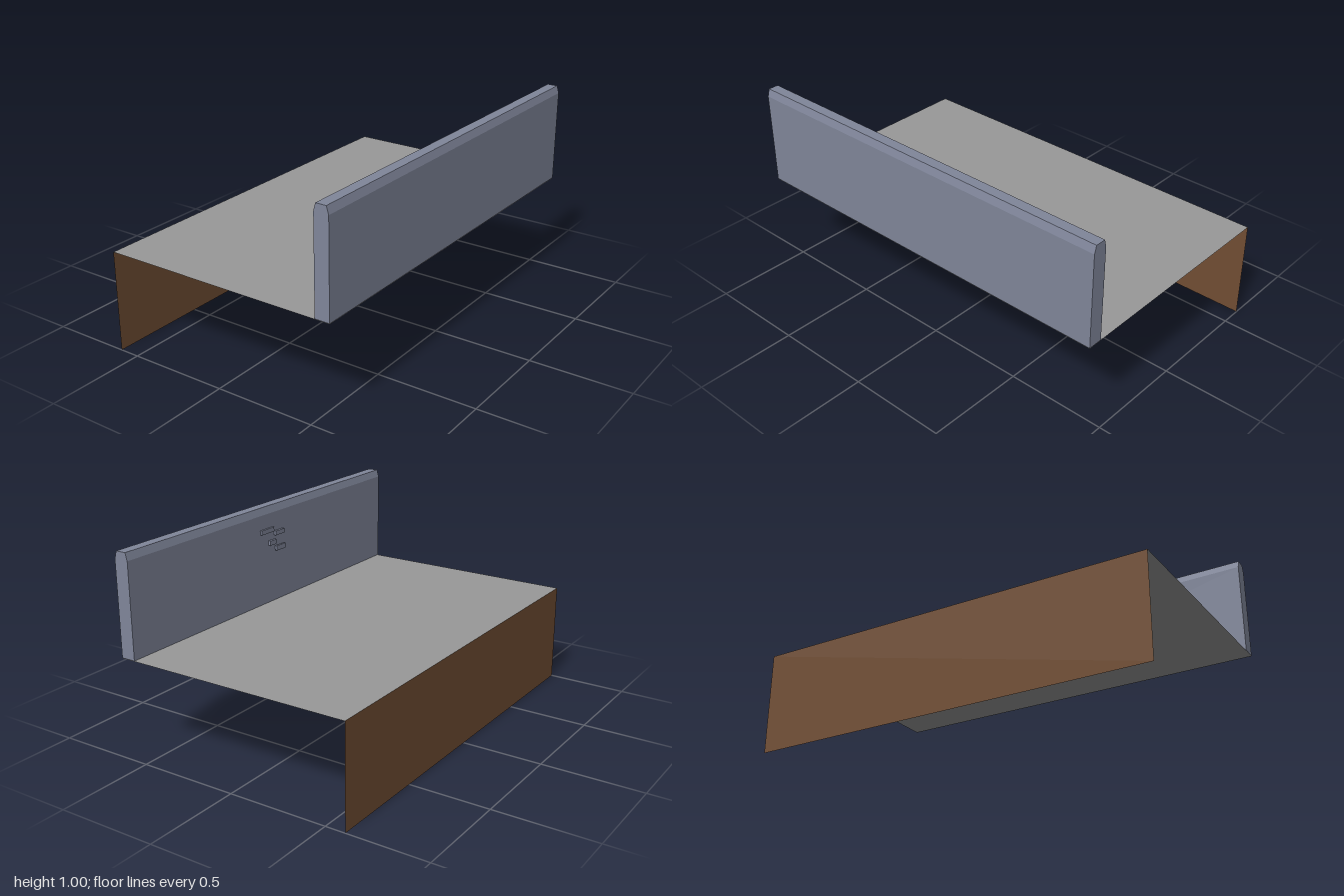
import * as THREE from 'three';

const flat = (name, color, side = THREE.FrontSide) => {
  const m = new THREE.MeshStandardMaterial({ color, side });
  m.name = name;
  return m;
};

export function createModel() {
  const group = new THREE.Group();
  const stone = flat('blue grey stone', 0x80869a);
  const paving = flat('grey paving', 0x999999, THREE.DoubleSide);
  const earth = flat('brown earth', 0x724e34, THREE.DoubleSide);

  const add = (name, geometry, material) => {
    const mesh = new THREE.Mesh(geometry, material);
    mesh.name = name;
    group.add(mesh);
    return mesh;
  };

  // Flat walkway and the earth face dropping from its back edge
  add('walkway', new THREE.PlaneGeometry(2, 1.2).rotateX(-Math.PI / 2), paving).position.y = 0.5;
  add('earthFace', new THREE.PlaneGeometry(2, 0.5), earth).position.set(0, 0.25, -0.6);

  // Parapet with a chamfered top: [z, y] profile swept along x, just above the walkway
  const profile = [[0.6, 0.502], [0.527, 0.502], [0.527, 0.963], [0.537, 1], [0.589, 1], [0.6, 0.963]];
  const shape = new THREE.Shape(profile.map(([z, y]) => new THREE.Vector2(-z, y)));
  const parapet = new THREE.ExtrudeGeometry(shape, { depth: 2, bevelEnabled: false });
  parapet.rotateY(Math.PI / 2).translate(-1, 0, 0);
  add('parapet', parapet, stone);

  // Small raised bricks on the inner face: x, y and z ranges
  const bricks = [
    [-0.015, 0.085, 0.867, 0.89, 0.517, 0.528],
    [-0.09, -0.02, 0.845, 0.867, 0.511, 0.523],
    [-0.028, 0.022, 0.8, 0.824, 0.514, 0.528],
    [-0.096, -0.024, 0.764, 0.789, 0.511, 0.521],
  ];
  bricks.forEach(([x0, x1, y0, y1, z0, z1], i) => {
    const brick = add(`raisedBrick${i + 1}`, new THREE.BoxGeometry(x1 - x0, y1 - y0, z1 - z0), stone);
    brick.position.set((x0 + x1) / 2, (y0 + y1) / 2, (z0 + z1) / 2);
  });

  return group;
}
